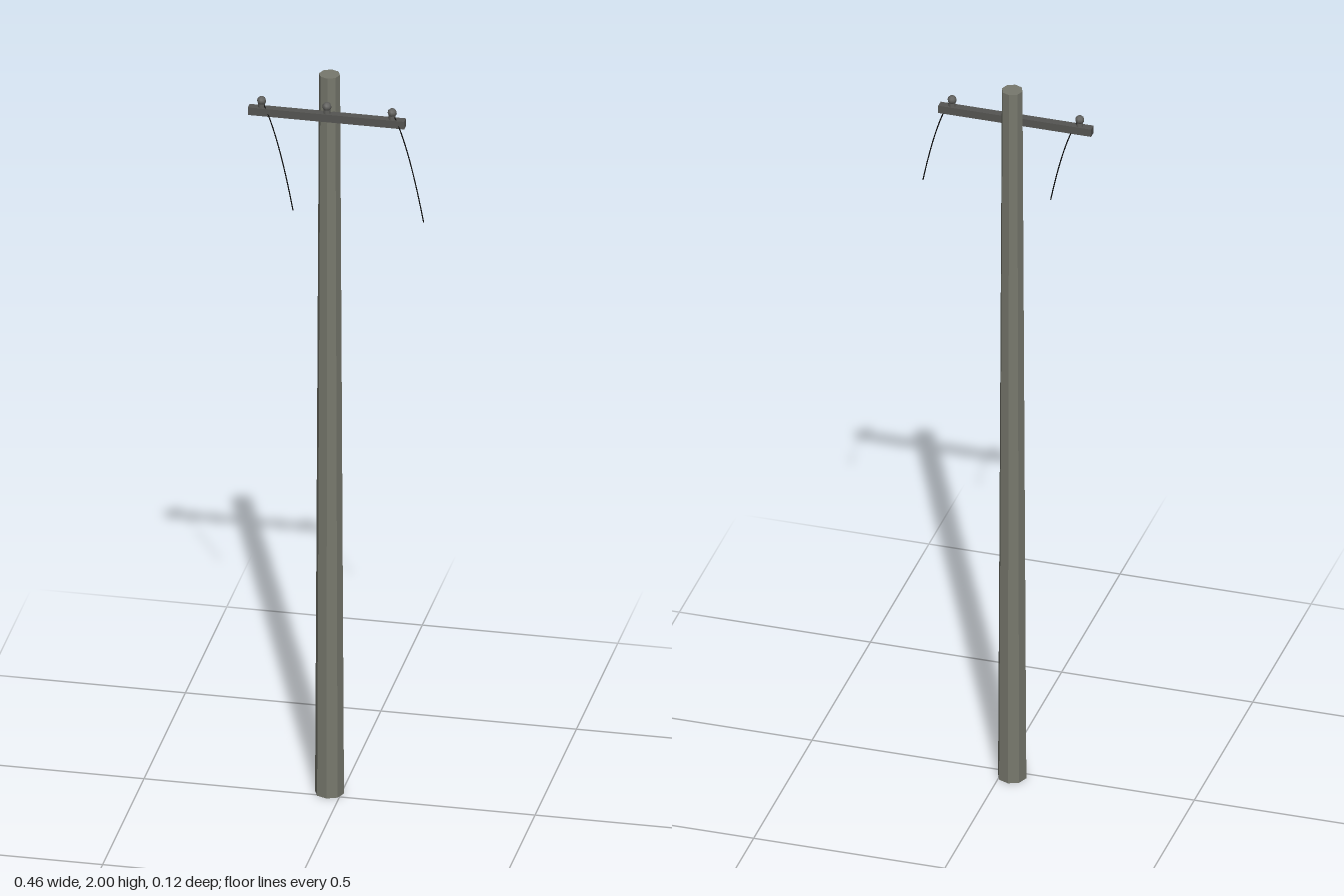
import * as THREE from 'three';

export function createModel() {
  const model = new THREE.Group();
  const mat = (name, color, flatShading = true) => {
    const m = new THREE.MeshStandardMaterial({ color, flatShading });
    m.name = name;
    return m;
  };
  const poleGrey = mat('weathered pole grey', 0x77786d);
  const armGrey = mat('dark arm grey', 0x555552);
  const insulatorGrey = mat('insulator grey', 0x60605d, false);
  const wireBlack = mat('wire black', 0x0a0a0a, false);

  const add = (name, geometry, material, x, y, z) => {
    const mesh = new THREE.Mesh(geometry, material);
    mesh.name = name;
    mesh.position.set(x, y, z);
    model.add(mesh);
    return mesh;
  };

  const poleX = -0.03, armZ = 0.0105, armTop = 1.907;

  // Tapered eight-sided pole
  add('pole', new THREE.CylinderGeometry(0.027, 0.037, 2, 8), poleGrey, poleX, 1, -0.021);

  // Crossarm on the front of the pole
  add('crossarm', new THREE.BoxGeometry(0.4, 0.021, 0.021), armGrey, poleX, armTop - 0.0105, armZ);

  // Insulators: short stem with a round head
  const stem = new THREE.CylinderGeometry(0.009, 0.009, 0.018, 8);
  const head = new THREE.SphereGeometry(0.0118, 8, 6);
  for (const dx of [-0.167, 0, 0.167]) {
    add('insulatorStem', stem, insulatorGrey, poleX + dx, armTop + 0.008, armZ);
    add('insulatorHead', head, insulatorGrey, poleX + dx, 1.9245, armZ);
  }

  // Hanging wires: run outward evenly while falling ever more steeply
  const points = [];
  for (let i = 0; i <= 8; i++) {
    const t = i / 8;
    points.push(new THREE.Vector3(0.09 * t, -0.13 * t - 0.145 * t * t, 0.0455 * t));
  }
  const wire = new THREE.TubeGeometry(new THREE.CatmullRomCurve3(points), 16, 0.0016, 5);
  for (const dx of [-0.167, 0.167]) add('wire', wire, wireBlack, poleX + dx, 1.925, armZ);

  return model;
}
